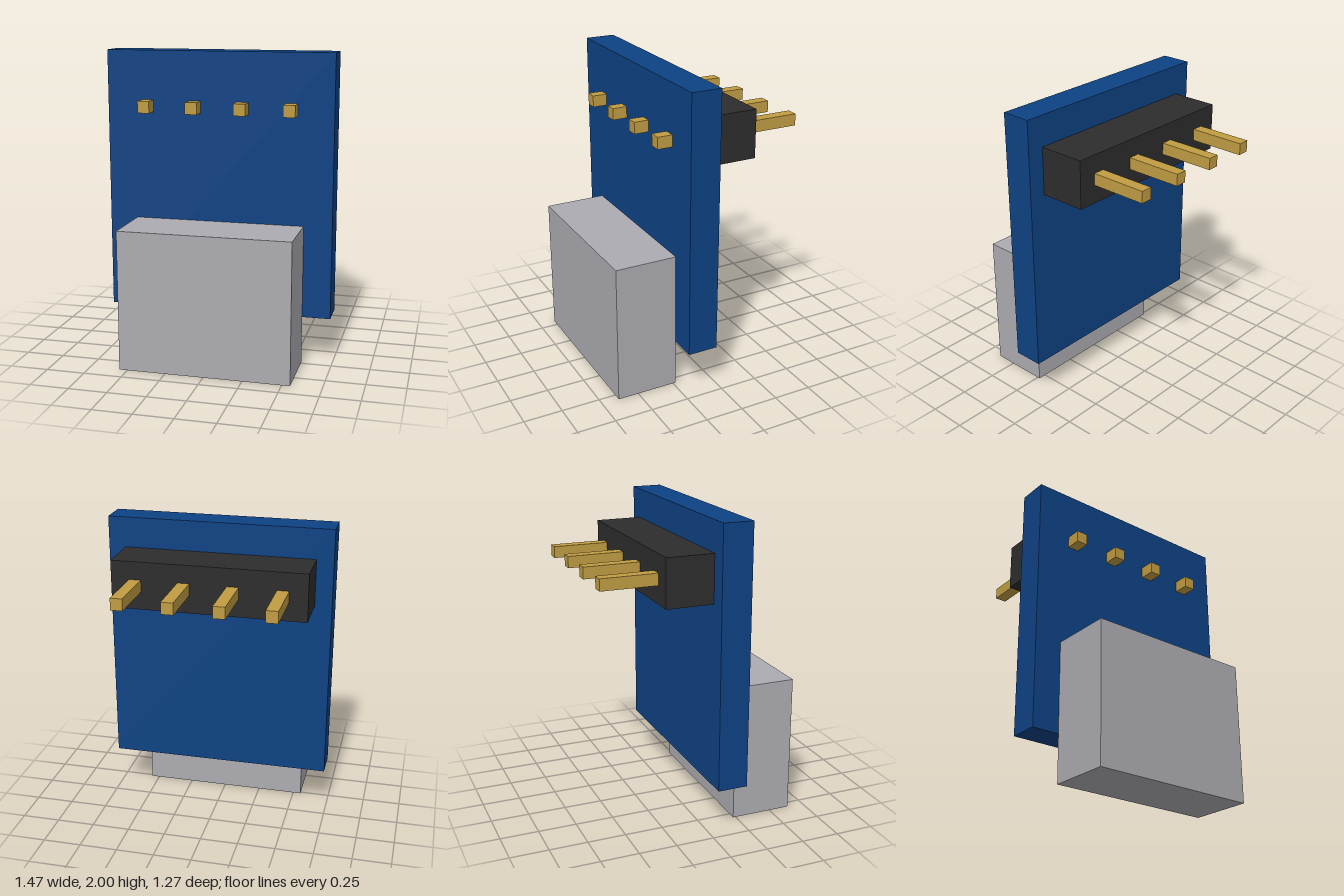
import * as THREE from 'three';

function material(name, color) {
  const m = new THREE.MeshStandardMaterial({ color });
  m.name = name;
  return m;
}

// Box given by its extents along each axis
function block(name, mat, [x0, x1], [y0, y1], [z0, z1]) {
  const mesh = new THREE.Mesh(new THREE.BoxGeometry(x1 - x0, y1 - y0, z1 - z0), mat);
  mesh.position.set((x0 + x1) / 2, (y0 + y1) / 2, (z0 + z1) / 2);
  mesh.name = name;
  return mesh;
}

export function createModel() {
  const blue = material('board blue', 0x0e4284);
  const black = material('header black', 0x2d2d2d);
  const gold = material('pin gold', 0xc09c42);
  const grey = material('connector grey', 0xacabb1);

  const model = new THREE.Group();
  model.name = 'pinBreakoutBoard';

  // Circuit board, front connector shell and rear header strip
  const boardBack = 0.037, boardFront = 0.233;
  model.add(
    block('circuitBoard', blue, [-0.735, 0.735], [0.31, 2], [boardBack, boardFront]),
    block('connectorShell', grey, [-0.553, 0.553], [0, 0.91], [boardFront, 0.637]),
    block('pinHeader', black, [-0.624, 0.624], [1.492, 1.802], [-0.27, boardBack]),
  );

  // Four square pins running through header and board
  const pins = new THREE.Group();
  pins.name = 'headerPins';
  const spacing = 0.312, half = 0.038, pinY = 1.647;
  for (let i = 0; i < 4; i++) {
    const x = (i - 1.5) * spacing;
    pins.add(block(`pin${i + 1}`, gold, [x - half, x + half], [pinY - half, pinY + half], [-0.637, 0.33]));
  }
  model.add(pins);

  return model;
}
